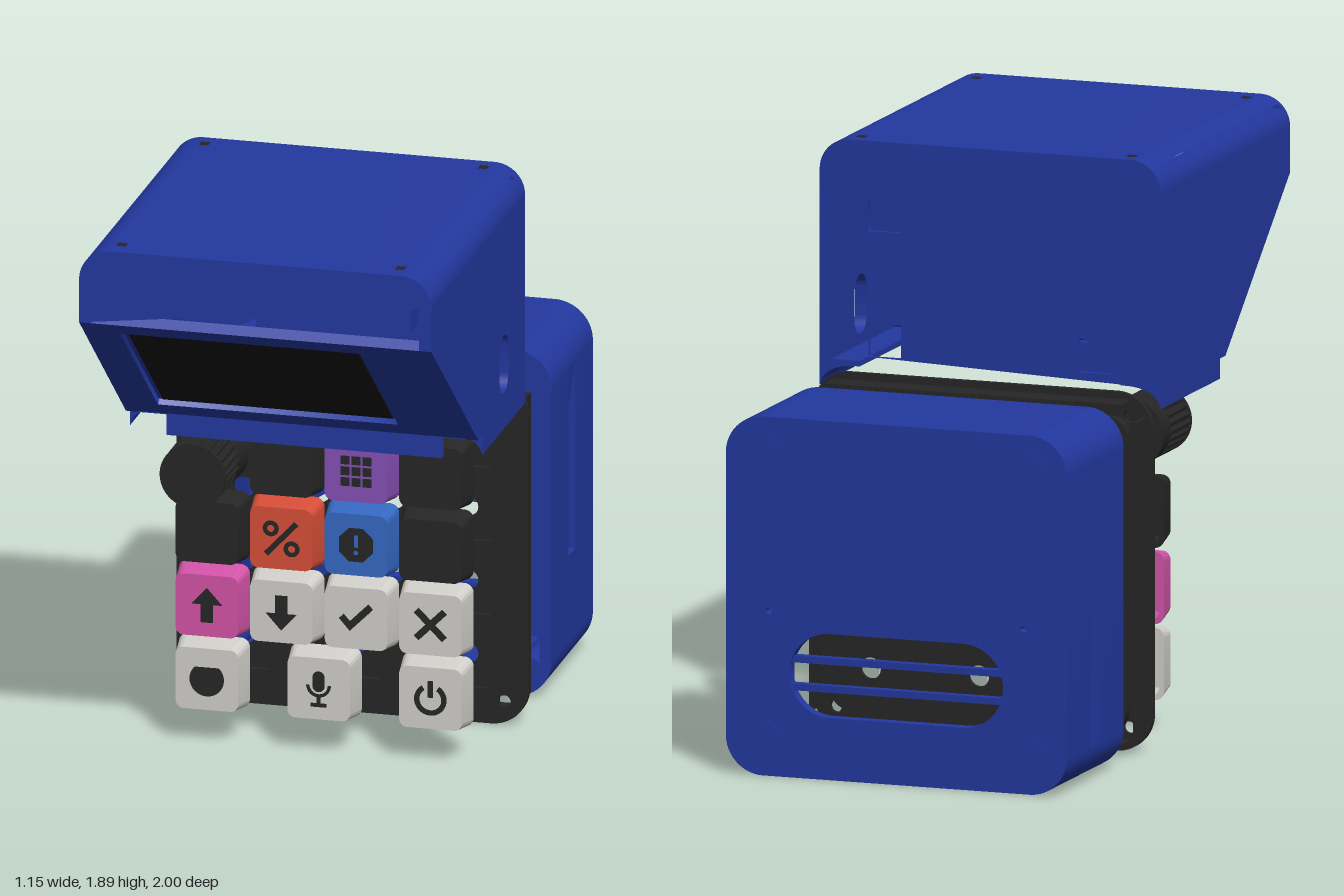
import * as THREE from 'three';
import { toCreasedNormals } from 'three/addons/utils/BufferGeometryUtils.js';

const mat = (name, color) => {
  const m = new THREE.MeshStandardMaterial({ color });
  m.name = name;
  return m;
};
const PI = Math.PI, W = 0.575, H = 1.155, MID = H / 2;

// ---------- helpers ----------
const poly = (pts) => new THREE.Shape(pts.map(([x, y]) => new THREE.Vector2(x, y)));
const circle = (x, y, r) => new THREE.Shape().absarc(x, y, r, 0, PI * 2);
function roundRect(w, h, r, cx = 0, cy = 0) {
  const a = w / 2 - r, b = h / 2 - r, s = new THREE.Shape();
  s.absarc(cx + a, cy + b, r, 0, PI / 2);
  s.absarc(cx - a, cy + b, r, PI / 2, PI);
  s.absarc(cx - a, cy - b, r, PI, PI * 1.5);
  s.absarc(cx + a, cy - b, r, PI * 1.5, PI * 2);
  s.closePath();
  return s;
}
const withHoles = (s, holes) => { s.holes.push(...holes); return s; };
const extrude = (shape, z0, z1) => new THREE.ExtrudeGeometry(shape, { depth: z1 - z0, bevelEnabled: false, curveSegments: 12 }).translate(0, 0, z0);
function add(parent, name, geo, material, x = 0, y = 0, z = 0) {
  const m = new THREE.Mesh(toCreasedNormals(geo, 0.6), material);
  m.name = name;
  m.position.set(x, y, z);
  parent.add(m);
  return m;
}
const box = (parent, name, w, h, d, material, x, y, z) => add(parent, name, new THREE.BoxGeometry(w, h, d), material, x, y, z);
function group(parent, name) {
  const g = new THREE.Group();
  g.name = name;
  parent.add(g);
  return g;
}

// ---------- icon outlines, centred on a key ----------
const bar = (w, h, angle, x = 0, y = 0) => poly([[-w, -h], [w, -h], [w, h], [-w, h]].map(([u, v]) =>
  [x + (u * Math.cos(angle) - v * Math.sin(angle)) / 2, y + (u * Math.sin(angle) + v * Math.cos(angle)) / 2]));
const arcBand = (r0, r1, a0, a1, y = 0) => {
  const s = new THREE.Shape();
  s.absarc(0, y, r1, a0, a1, false);
  s.absarc(0, y, r0, a1, a0, true);
  s.closePath();
  return s;
};
const arrow = (k) => poly([[-0.02, -0.055], [0.02, -0.055], [0.02, 0.005], [0.05, 0.005], [0, 0.06], [-0.05, 0.005], [-0.02, 0.005]].map(([x, y]) => [k * x, k * y]));
const ring = (x, y) => withHoles(circle(x, y, 0.026), [circle(x, y, 0.012)]);
const icons = {
  grid: () => [-1, 0, 1].flatMap((i) => [-1, 0, 1].map((j) => bar(0.028, 0.028, 0, i * 0.036, j * 0.036))),
  ratio: () => [ring(-0.034, 0.032), ring(0.034, -0.032), bar(0.018, 0.145, -0.75)],
  alert: () => [withHoles(poly([...Array(8)].map((_, i) => [0.06 * Math.cos((i + 0.5) * PI / 4), 0.06 * Math.sin((i + 0.5) * PI / 4)])),
    [bar(0.014, 0.042, 0, 0, 0.012), circle(0, -0.026, 0.008)])],
  up: () => [arrow(1)],
  down: () => [arrow(-1)],
  check: () => [poly([[-0.055, -0.002], [-0.02, -0.042], [0.056, 0.034], [0.04, 0.05], [-0.02, -0.01], [-0.04, 0.013]])],
  cross: () => [bar(0.022, 0.13, PI / 4), bar(0.022, 0.13, -PI / 4)],
  pie: () => { const s = new THREE.Shape(); s.moveTo(0, 0); s.absarc(0, 0, 0.056, PI * 0.75, PI * 2.25); s.closePath(); return [s]; },
  mic: () => [roundRect(0.038, 0.068, 0.0185, 0, 0.024), arcBand(0.03, 0.04, PI, PI * 2, 0.012), bar(0.012, 0.03, 0, 0, -0.04), bar(0.05, 0.012, 0, 0, -0.054)],
  power: () => [arcBand(0.036, 0.053, PI * 0.68, PI * 2.32, -0.004), bar(0.017, 0.055, 0, 0, 0.03)],
};

export function createModel() {
  const root = new THREE.Group();
  root.name = 'explodedKeypad';
  const blue = mat('shell blue', 0x2338a0), charcoal = mat('charcoal', 0x262626), black = mat('screen black', 0x121212);
  const purple = mat('purple', 0x8650b4), red = mat('red', 0xd84e38), sky = mat('key blue', 0x3569c4);
  const pink = mat('pink', 0xd454a8), white = mat('warm white', 0xd2d0cb);

  // ---------- rear case: open tray with side slots ----------
  const rear = group(root, 'rearCase');
  add(rear, 'backPanel', extrude(withHoles(roundRect(W * 2, H, 0.125, 0, MID),
    [roundRect(0.72, 0.27, 0.134, 0, 0.335), circle(0.43, 0.53, 0.01), circle(-0.43, 0.53, 0.01)]), -1, -0.96), blue);
  const rim = () => withHoles(roundRect(W * 2, H, 0.125, 0, MID), [roundRect(W * 2 - 0.08, H - 0.08, 0.085, 0, MID)]);
  add(rear, 'wallBehindSlot', extrude(rim(), -0.961, -0.78), blue);
  add(rear, 'wallBeforeSlot', extrude(rim(), -0.7, -0.49), blue);
  const half = new THREE.Shape();
  half.moveTo(W, 0.17);
  half.absarc(W - 0.125, MID - 0.125, 0.125, 0, PI / 2);
  half.absarc(0.125 - W, MID - 0.125, 0.125, PI / 2, PI);
  half.lineTo(-W, 0.17);
  half.lineTo(0.04 - W, 0.17);
  half.absarc(0.125 - W, MID - 0.125, 0.085, PI, PI / 2, true);
  half.absarc(W - 0.125, MID - 0.125, 0.085, PI / 2, 0, true);
  half.lineTo(W - 0.04, 0.17);
  for (const turn of [0, PI]) add(rear, 'wallAtSlot', extrude(half, -0.78, -0.7).rotateZ(turn), blue, 0, MID, 0);
  for (const y of [0.29, 0.38]) box(rear, 'ventBar', 0.74, 0.022, 0.03, blue, 0, y, -0.975);
  for (const sx of [-1, 1]) for (const sy of [-1, 1]) {
    add(rear, 'screwPost', new THREE.CylinderGeometry(0.045, 0.045, 0.45, 20).rotateX(PI / 2), blue, sx * 0.495, MID + sy * 0.5, -0.74);
    add(rear, 'footPad', new THREE.CylinderGeometry(0.06, 0.06, 0.006, 24).rotateX(PI / 2), blue, sx * 0.45, MID + sy * 0.46, -0.999);
  }

  // ---------- key plate ----------
  const cols = [-0.365, -0.122, 0.122, 0.365], rows = [0.95, 0.705, 0.46, 0.215];
  const spots = rows.flatMap((y, r) => (r < 3 ? cols : [-0.365, 0, 0.365]).map((x) => [x, y]));
  const plate = group(root, 'keyPlate');
  const screwHoles = () => [-1, 1].flatMap((sx) => [-1, 1].map((sy) => circle(sx * 0.495, MID + sy * 0.5, 0.02)));
  add(plate, 'plateFront', extrude(withHoles(roundRect(W * 2, H, 0.125, 0, MID),
    [...spots.map(([x, y]) => roundRect(0.2, 0.2, 0.02, x, y)), ...screwHoles()]), -0.227, -0.208), charcoal);
  add(plate, 'plateFloor', extrude(withHoles(roundRect(1.0, 1.0, 0.06, 0, MID),
    spots.map(([x, y]) => circle(x, y, 0.035))), -0.262, -0.245), charcoal);
  add(plate, 'plateSkirt', extrude(withHoles(roundRect(1.0, 1.0, 0.06, 0, MID), [roundRect(0.97, 0.97, 0.045, 0, MID)]), -0.25, -0.22), charcoal);
  for (const s of [-1, 1]) {
    box(plate, 'sideRib', 0.014, 1.0, 0.086, charcoal, s * 0.547, MID, -0.269);
    box(plate, 'endRib', 1.0, 0.014, 0.086, charcoal, 0, MID + s * 0.547, -0.269);
  }

  // ---------- keys: tapered hollow caps ----------
  const taper = (geo) => {
    const p = geo.attributes.position;
    for (let i = 0; i < p.count; i++) {
      const k = 1 - 0.12 * p.getZ(i) / 0.095;
      p.setXY(i, p.getX(i) * k, p.getY(i) * k);
    }
    return geo;
  };
  const keys = group(root, 'keys');
  const colours = [null, charcoal, purple, charcoal, charcoal, red, sky, charcoal, pink, white, white, white, white, white, white];
  const marks = [, , 'grid', , , 'ratio', 'alert', , 'up', 'down', 'check', 'cross', 'pie', 'mic', 'power'];
  spots.forEach(([x, y], i) => {
    if (!colours[i]) return;
    const key = group(keys, 'key');
    key.position.set(x, y, 0.12);
    add(key, 'keySkirt', taper(extrude(withHoles(roundRect(0.232, 0.232, 0.03), [roundRect(0.2, 0.2, 0.02)]), 0, 0.08)), colours[i]);
    add(key, 'keyTop', taper(extrude(roundRect(0.232, 0.232, 0.03), 0.075, 0.095)), colours[i]);
    add(key, 'keyStem', new THREE.CylinderGeometry(0.03, 0.03, 0.07, 16).rotateX(PI / 2), colours[i], 0, 0, 0.043);
    if (marks[i]) add(key, 'keyIcon', extrude(icons[marks[i]](), 0.094, 0.098), charcoal);
  });

  // ---------- ribbed knob ----------
  const knob = group(root, 'knob');
  knob.position.set(-0.365, 0.95, 0);
  const ribs = poly([...Array(96)].map((_, i) => {
    const r = i % 4 < 2 ? 0.107 : 0.1, a = i * PI / 48;
    return [r * Math.cos(a), r * Math.sin(a)];
  }));
  add(knob, 'knobGrip', extrude(ribs, 0.21, 0.385), charcoal);
  add(knob, 'knobCap', new THREE.CylinderGeometry(0.107, 0.107, 0.012, 40).rotateX(PI / 2), charcoal, 0, 0, 0.389);
  add(knob, 'knobSkirt', new THREE.CylinderGeometry(0.104, 0.114, 0.1, 40).rotateX(PI / 2), charcoal, 0, 0, 0.17);

  // ---------- hood with sloping display ----------
  const hood = group(root, 'hood');
  const side = () => poly([[-0.16, 1.16], [0.42, 1.16], [1, 1.645], [1, 1.79], [-0.16, 1.79]]);
  const sideGeo = (s) => extrude(s, 0, 0.04).rotateY(-PI / 2);
  add(hood, 'leftWall', sideGeo(withHoles(side(), [roundRect(0.11, 0.19, 0.054, 0.1, 1.31)])), blue, W);
  add(hood, 'rightWall', sideGeo(side()), blue, 0.04 - W);
  // rounded-top slab between a low height and the roof
  const roofShape = (y0) => {
    const s = new THREE.Shape(), a = Math.asin(Math.max(0, (y0 - 1.79) / 0.1));
    if (y0 < 1.79) s.moveTo(W, y0);
    s.absarc(W - 0.1, 1.79, 0.1, a, PI / 2);
    s.absarc(0.1 - W, 1.79, 0.1, PI / 2, PI - a);
    if (y0 < 1.79) s.lineTo(-W, y0);
    s.closePath();
    return s;
  };
  add(hood, 'roof', extrude(roofShape(1.865), -0.155, 0.995), blue);
  add(hood, 'frontBand', extrude(roofShape(1.645), 0.98, 1), blue);
  const pockets = [-0.355, 0.355].flatMap((x) => [1.25, 1.655].map((y) => roundRect(0.11, 0.11, 0.005, x, y)));
  add(hood, 'backWallOuter', extrude(withHoles(roofShape(1.16), pockets), -0.16, -0.145), blue);
  add(hood, 'backWallInner', extrude(roofShape(1.16), -0.145, -0.12), blue);
  for (const s of [-1, 1]) {
    // rounded shoulder below the roof slit
    const shoulder = new THREE.Shape();
    shoulder.absarc(W - 0.1, 1.79, 0.1, 0, Math.asin(0.6));
    shoulder.lineTo(0.515, 1.85);
    shoulder.lineTo(0.535, 1.79);
    shoulder.closePath();
    // curved foot that fits over the plate corner
    const foot = new THREE.Shape();
    foot.moveTo(W, 1.095);
    foot.lineTo(W, 1.18);
    foot.lineTo(0.44, 1.18);
    foot.lineTo(0.44, 1.162);
    foot.quadraticCurveTo(0.56, 1.165, W, 1.095);
    const spin = s < 0 ? PI : 0;
    for (const [name, shape, z0, z1] of [['roofShoulder', shoulder, -0.16, 1], ['hoodFoot', foot, -0.16, 0.37]]) {
      const g = extrude(shape, z0, z1);
      if (spin) g.translate(0, 0, -(z0 + z1) / 2).rotateY(spin).translate(0, 0, (z0 + z1) / 2);
      add(hood, name, g, blue);
    }
    for (const z of [-0.1, 0.925]) {
      box(hood, 'roofPost', 0.09, 0.18, 0.1, blue, s * 0.455, 1.78, z);
      box(hood, 'roofScrew', 0.03, 0.004, 0.03, charcoal, s * 0.455, 1.889, z);
    }
  }
  box(hood, 'frontLip', 0.9, 0.085, 0.02, blue, 0, 1.1225, 0.38);
  box(hood, 'lipShelf', 1.07, 0.02, 0.06, blue, 0, 1.171, 0.395);
  // tilted display panel
  const panel = group(hood, 'displayPanel');
  panel.position.set(0, 1.16, 0.42);
  panel.rotation.x = Math.atan2(0.58, 0.485);
  const face = poly([[-W, 0], [W, 0], [W, 0.756], [-W, 0.756]]);
  add(panel, 'displayBezel', extrude(withHoles(face, [roundRect(0.785, 0.605, 0.004, -0.0625, 0.383)]), -0.035, 0), blue);
  box(panel, 'displayFrame', 0.8, 0.62, 0.01, blue, -0.0625, 0.383, -0.025);
  box(panel, 'screen', 0.75, 0.575, 0.008, black, -0.0625, 0.38, -0.018);
  return root;
}
